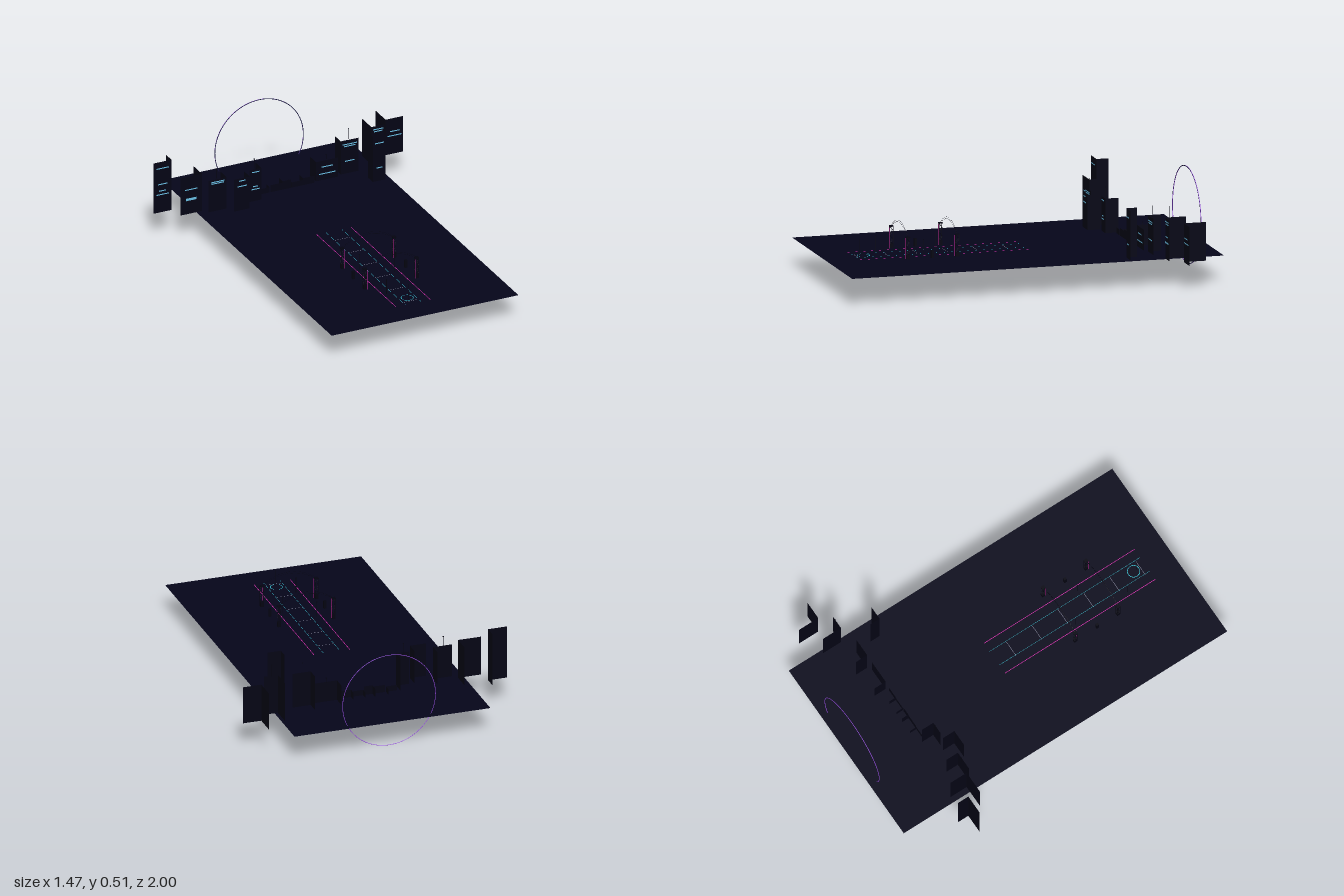
import * as THREE from 'three';

const mat = (name, color, side = THREE.FrontSide) => {
  const m = new THREE.MeshStandardMaterial({ color, side });
  m.name = name;
  return m;
};

export function createModel() {
  const root = new THREE.Group();
  root.name = 'neonRunwayCity';
  const G = 0.145; // ground level
  const CX = 0.01; // runway centre line
  const D = THREE.DoubleSide;
  const ground = mat('midnight ground', 0x05051a, D);
  const wall = mat('night wall', 0x040414, D);
  const metal = mat('black metal', 0x030310, D);
  const cyan = mat('cyan light', 0x6cc4ea);
  const teal = mat('bright cyan light', 0x40e8f8, D);
  const magenta = mat('magenta light', 0xf030c0, D);
  const purple = mat('purple ring', 0xa050f0, D);
  const navy = mat('navy ring', 0x14123a);
  const grey = mat('pale marking', 0x9a9cb0);

  const add = (parent, name, geo, m, x, y, z) => {
    const mesh = new THREE.Mesh(geo, m);
    mesh.name = name;
    mesh.position.set(x, y, z);
    parent.add(mesh);
    return mesh;
  };
  const box = (parent, name, m, w, h, d, x, y, z) =>
    add(parent, name, new THREE.BoxGeometry(w, h, d), m, x, y, z);
  const upright = (parent, name, m, w, h, x, y, z) =>
    add(parent, name, new THREE.PlaneGeometry(w, h), m, x, y, z);
  const flat = (name, m, w, d, x, z) =>
    add(root, name, new THREE.PlaneGeometry(w, d).rotateX(-Math.PI / 2), m, x, G + 0.002, z);
  // Thin straight bar between two points
  const bar = (parent, name, a, b, r, m) => {
    const p = new THREE.Vector3(...a), q = new THREE.Vector3(...b);
    const dir = q.clone().sub(p);
    const mesh = add(parent, name, new THREE.CylinderGeometry(r, r, dir.length(), 5), m, 0, 0, 0);
    mesh.position.copy(p).add(q).multiplyScalar(0.5);
    mesh.quaternion.setFromUnitVectors(new THREE.Vector3(0, 1, 0), dir.normalize());
  };

  // Ground sheet
  add(root, 'ground', new THREE.PlaneGeometry(1.07, 2).rotateX(-Math.PI / 2), ground, 0.005, G, 0);

  // Open-backed building: a front sheet and one side sheet facing the runway
  const building = (x0, x1, top, z, depth, windows = [], antenna) => {
    const g = new THREE.Group();
    g.name = 'building';
    root.add(g);
    const h = top - G, w = x1 - x0, cx = (x0 + x1) / 2;
    upright(g, 'front', wall, w, h, cx, G + h / 2, z);
    add(g, 'side', new THREE.PlaneGeometry(depth, h).rotateY(Math.PI / 2), wall,
      cx < 0 ? x1 : x0, G + h / 2, z - depth / 2);
    // windows: [width, height above base line, thickness]
    for (const [ww, y, t = 0.006] of windows) upright(g, 'window', cyan, ww, t, cx, y, z + 0.003);
    if (antenna) {
      const [ax, ay] = antenna;
      bar(g, 'antenna', [ax, top, z - 0.01], [ax, ay, z - 0.01], 0.0012, metal);
      upright(g, 'antennaTip', metal, 0.007, 0.005, ax, ay - 0.003, z - 0.01);
    }
  };

  // Left-hand skyline
  building(-0.736, -0.634, 0.434, -0.67, 0.065,
    [[0.07, 0.398], [0.055, 0.307], [0.04, 0.269], [0.07, 0.248]]);
  building(-0.622, -0.498, 0.359, -0.59, 0.1, [[0.07, 0.285], [0.06, 0.229, 0.014]]);
  building(-0.475, -0.371, 0.325, -0.56, 0.07, [[0.078, 0.313], [0.07, 0.304]], [-0.424, 0.384]);
  building(-0.352, -0.263, 0.328, -0.51, 0.07, [[0.035, 0.315], [0.055, 0.284]]);
  building(-0.234, -0.165, 0.327, -0.575, 0.07,
    [[0.043, 0.312], [0.03, 0.23], [0.047, 0.214]], [-0.2, 0.384]);
  // Right-hand skyline
  building(0.181, 0.306, 0.255, -0.64, 0.07, [[0.066, 0.221], [0.094, 0.182]], [0.243, 0.285]);
  building(0.33, 0.43, 0.335, -0.655, 0.07,
    [[0.082, 0.313], [0.066, 0.302], [0.055, 0.217]], [0.378, 0.396]);
  building(0.44, 0.513, 0.404, -0.505, 0.057, [[0.05, 0.363], [0.035, 0.222]]);
  building(0.522, 0.597, 0.36, -0.69, 0.11,
    [[0.06, 0.343], [0.05, 0.331], [0.047, 0.264], [0.06, 0.233, 0.009]], [0.558, 0.427]);
  building(0.635, 0.736, 0.349, -0.755, 0.12, [[0.055, 0.276], [0.08, 0.251]]);
  // Low far blocks behind the runway
  for (const [x0, x1, top] of [[-0.15, -0.09, 0.175], [-0.085, -0.018, 0.185],
    [-0.016, 0.031, 0.193], [0.035, 0.1, 0.175], [0.101, 0.166, 0.185]]) {
    building(x0, x1, top, -0.63, 0.04);
  }

  // Great ring at the far end, dark on its front and purple behind
  add(root, 'ringFront', new THREE.RingGeometry(0.2515, 0.2555, 96), navy, CX, 0.2555, -0.959);
  add(root, 'ringBack', new THREE.TorusGeometry(0.2535, 0.0016, 6, 96), purple, CX, 0.2555, -0.961);

  // Runway edge lights, lane lines and cross markings
  for (const s of [-1, 1]) {
    flat('edgeLight', magenta, 0.003, 0.93, CX + s * 0.098, 0.385);
    flat('laneLine', teal, 0.0015, 0.93, CX + s * 0.045, 0.385);
  }
  for (let i = 0; i < 6; i++) flat('crossMarking', grey, 0.09, 0.002, CX - 0.005, 0.02 + i * 0.16);

  // Landing ring with a slim mast
  add(root, 'landingRing', new THREE.RingGeometry(0.0305, 0.0335, 40).rotateX(-Math.PI / 2),
    teal, CX, G + 0.003, 0.78);
  bar(root, 'mast', [CX, G, 0.8], [CX, 0.235, 0.8], 0.0014, metal);

  // Lattice gates spanning the runway
  const gate = (z) => {
    const g = new THREE.Group();
    g.name = 'gate';
    root.add(g);
    for (const s of [-1, 1]) {
      const px = CX + s * 0.149, hw = 0.007, hd = 0.009;
      for (const a of [-1, 1]) {
        for (const b of [-1, 1]) {
          bar(g, 'pillarLeg', [px + a * hw, G, z + b * hd], [px + a * hw, 0.26, z + b * hd], 0.001, metal);
        }
        // zigzag braces on the side faces
        for (let i = 0; i < 5; i++) {
          const y = G + i * 0.023, d = i % 2 ? 1 : -1;
          bar(g, 'pillarBrace', [px + a * hw, y, z + d * hd], [px + a * hw, y + 0.023, z - d * hd], 0.001, metal);
        }
      }
      box(g, 'pillarFoot', metal, 0.016, 0.025, 0.02, px, G + 0.0125, z);
      box(g, 'pillarCap', metal, 0.02, 0.005, 0.02, px, 0.26, z);
      bar(g, 'pillarLight', [px - s * 0.009, G, z + 0.011], [px - s * 0.009, 0.255, z + 0.011], 0.0014, magenta);
    }
    // Arched truss: two chords
    for (const [rise, off] of [[0.318, 0], [0.308, -0.006]]) {
      const pts = [];
      for (let i = 0; i <= 16; i++) {
        const t = i / 8 - 1;
        pts.push(new THREE.Vector3(CX + t * 0.145, 0.266 + off + (rise - 0.266 - off) * (1 - t * t), z));
      }
      add(g, 'archChord', new THREE.TubeGeometry(new THREE.CatmullRomCurve3(pts), 40, 0.0006, 4), metal, 0, 0, 0);
    }
  };
  gate(0.585);
  gate(0.32);

  // Roadside boxes and slim poles
  for (const s of [-1, 1]) {
    box(root, 'roadsideBox', metal, 0.014, 0.042, 0.014, CX + s * 0.15, G + 0.021, 0.455);
  }
  for (const [x, z] of [[-0.065, 0.37], [0.082, 0.48], [-0.065, 0.69]]) {
    bar(root, 'pole', [x, G, z], [x, 0.23, z], 0.0018, metal);
    upright(root, 'poleHead', metal, 0.007, 0.005, x, 0.228, z);
  }
  return root;
}
